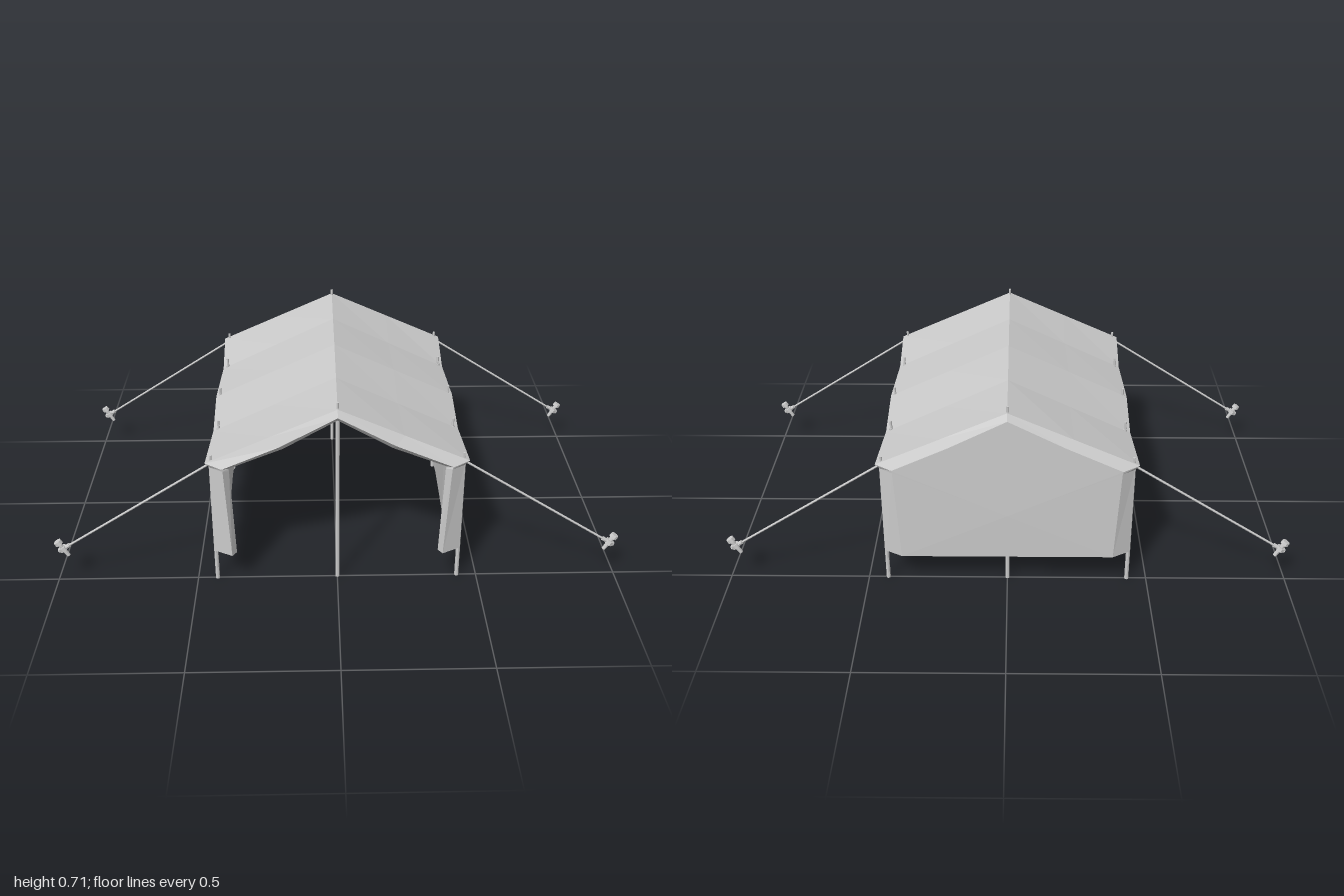
import * as THREE from 'three';

const material = new THREE.MeshStandardMaterial({ color: 0xcccccc, flatShading: true, side: THREE.DoubleSide });
const BASE = 0.125; // height of the canvas hem
const V = (x, y, z) => new THREE.Vector3(x, y, z);

// Cross-section from the left hem over the ridge to the right hem.
// z is given at hem, eave and ridge.
function section([zHem, zEave, zRidge], xHem, xWall, yWall, xEave, yEave, yRidge, sag = 0) {
  const half = [
    V(xHem, BASE, zHem),
    V(xWall, yWall, zEave),
    V(xEave, yEave, zEave),
    V(xEave / 2, (yEave + yRidge) / 2 - sag, (zEave + zRidge) / 2),
  ];
  const mirrored = half.map((p) => V(-p.x, p.y, p.z)).reverse();
  return [...half, V(0, yRidge, zRidge), ...mirrored];
}

function meshFromTriangles(name, points) {
  const geometry = new THREE.BufferGeometry().setFromPoints(points);
  geometry.computeVertexNormals();
  const mesh = new THREE.Mesh(geometry, material);
  mesh.name = name;
  return mesh;
}

const quad = (out, a, b, c, d) => out.push(a, b, d, b, c, d);

function loft(out, rings) {
  for (let i = 0; i < rings.length - 1; i++) {
    for (let j = 0; j < rings[i].length - 1; j++) {
      quad(out, rings[i][j], rings[i][j + 1], rings[i + 1][j + 1], rings[i + 1][j]);
    }
  }
}

function fan(out, ring, centre, flip) {
  ring.forEach((p, j) => {
    const q = ring[(j + 1) % ring.length];
    out.push(centre, flip ? q : p, flip ? p : q);
  });
}

function rod(name, from, to, r0, r1 = r0, sides = 8) {
  const axis = to.clone().sub(from);
  const mesh = new THREE.Mesh(new THREE.CylinderGeometry(r1, r0, axis.length(), sides), material);
  mesh.position.copy(from).add(to).multiplyScalar(0.5);
  mesh.quaternion.setFromUnitVectors(V(0, 1, 0), axis.normalize());
  mesh.name = name;
  return mesh;
}

// Thick canvas: outer skin, bevelled ends, inner skin, back wall and hem
function createCanvas() {
  const group = new THREE.Group();
  group.name = 'canvas';
  const flat = (z) => [z, z, z];
  const outer = [
    section([-0.545, -0.54, -0.535], 0.372, 0.39, 0.468, 0.392, 0.477, 0.667, 0.005),
    section(flat(-0.512), 0.432, 0.432, 0.468, 0.45, 0.485, 0.686),
    section(flat(-0.26), 0.425, 0.42, 0.45, 0.44, 0.467, 0.679),
    section(flat(0), 0.432, 0.43, 0.458, 0.449, 0.475, 0.687),
    section(flat(0.26), 0.425, 0.42, 0.452, 0.44, 0.47, 0.679),
    section(flat(0.512), 0.432, 0.432, 0.468, 0.45, 0.485, 0.686),
    section([0.545, 0.54, 0.528], 0.37, 0.388, 0.468, 0.392, 0.476, 0.662, 0.012),
  ];
  const inner = [
    section(flat(-0.515), 0.4, 0.402, 0.445, 0.404, 0.452, 0.648),
    section(flat(-0.26), 0.397, 0.394, 0.43, 0.396, 0.438, 0.645),
    section(flat(0), 0.402, 0.402, 0.436, 0.404, 0.444, 0.654),
    section(flat(0.26), 0.397, 0.394, 0.43, 0.396, 0.438, 0.645),
    section(flat(0.492), 0.4, 0.402, 0.448, 0.404, 0.456, 0.652),
    section([0.522, 0.518, 0.512], 0.355, 0.368, 0.458, 0.37, 0.467, 0.645, 0.016),
  ];

  const shell = [];
  loft(shell, [...outer, ...inner.slice().reverse()]);
  group.add(meshFromTriangles('roofAndSideWalls', shell));

  const back = [];
  fan(back, outer[0], V(0, 0.3, -0.548), false);
  fan(back, inner[0], V(0, 0.3, -0.518), true);
  group.add(meshFromTriangles('backWall', back));

  // Underside joining both skins
  const hem = [];
  const last = outer[0].length - 1;
  const innerAt = (i) => inner[Math.min(i, inner.length - 1)];
  for (let i = 0; i < outer.length - 1; i++) {
    quad(hem, outer[i][0], outer[i + 1][0], innerAt(i + 1)[0], innerAt(i)[0]);
    quad(hem, outer[i][last], innerAt(i)[last], innerAt(i + 1)[last], outer[i + 1][last]);
  }
  quad(hem, outer[0][0], inner[0][0], inner[0][last], outer[0][last]);
  group.add(meshFromTriangles('hem', hem));
  return group;
}

// Pole with a thin spike that pokes through the canvas
function createPole(name, x, z, top) {
  const group = new THREE.Group();
  group.name = name;
  group.add(rod('shaft', V(x, 0, z), V(x, top - 0.03, z), 0.0075));
  group.add(rod('spike', V(x, top - 0.045, z), V(x, top, z), 0.0045));
  return group;
}

// Guy rope with its stake
function createGuyLine(sx, z) {
  const group = new THREE.Group();
  group.name = 'guyLine';
  group.add(rod('rope', V(sx * 0.435, 0.477, z), V(sx * 0.965, 0.137, z), 0.004, 0.004, 6));
  const tip = V(sx * 0.953, 0.105, z);
  const head = V(sx * 0.988, 0.165, z);
  const at = (t) => tip.clone().lerp(head, t);
  group.add(rod('stake', at(0), at(1), 0.007, 0.009));
  group.add(rod('stakeCollar', at(0.38), at(0.6), 0.016));
  group.add(rod('stakeHead', at(0.8), at(1), 0.015, 0.014));
  group.add(rod('ropeLoop', V(sx * 0.945, 0.15, z), V(sx * 0.985, 0.124, z), 0.008));
  return group;
}

export function createModel() {
  const model = new THREE.Group();
  model.name = 'tent';
  model.add(createCanvas());

  const sidePoles = [[0.43, -0.502], [0.421, -0.258], [0.433, 0], [0.421, 0.258], [0.43, 0.502]];
  for (const sx of [-1, 1]) {
    for (const [x, z] of sidePoles) model.add(createPole('sidePole', sx * x, z, 0.511));
    for (const z of [-0.5, 0.5]) model.add(createGuyLine(sx, z));
  }
  for (const z of [-0.5, 0.5]) model.add(createPole('ridgePole', 0, z, 0.706));
  return model;
}
